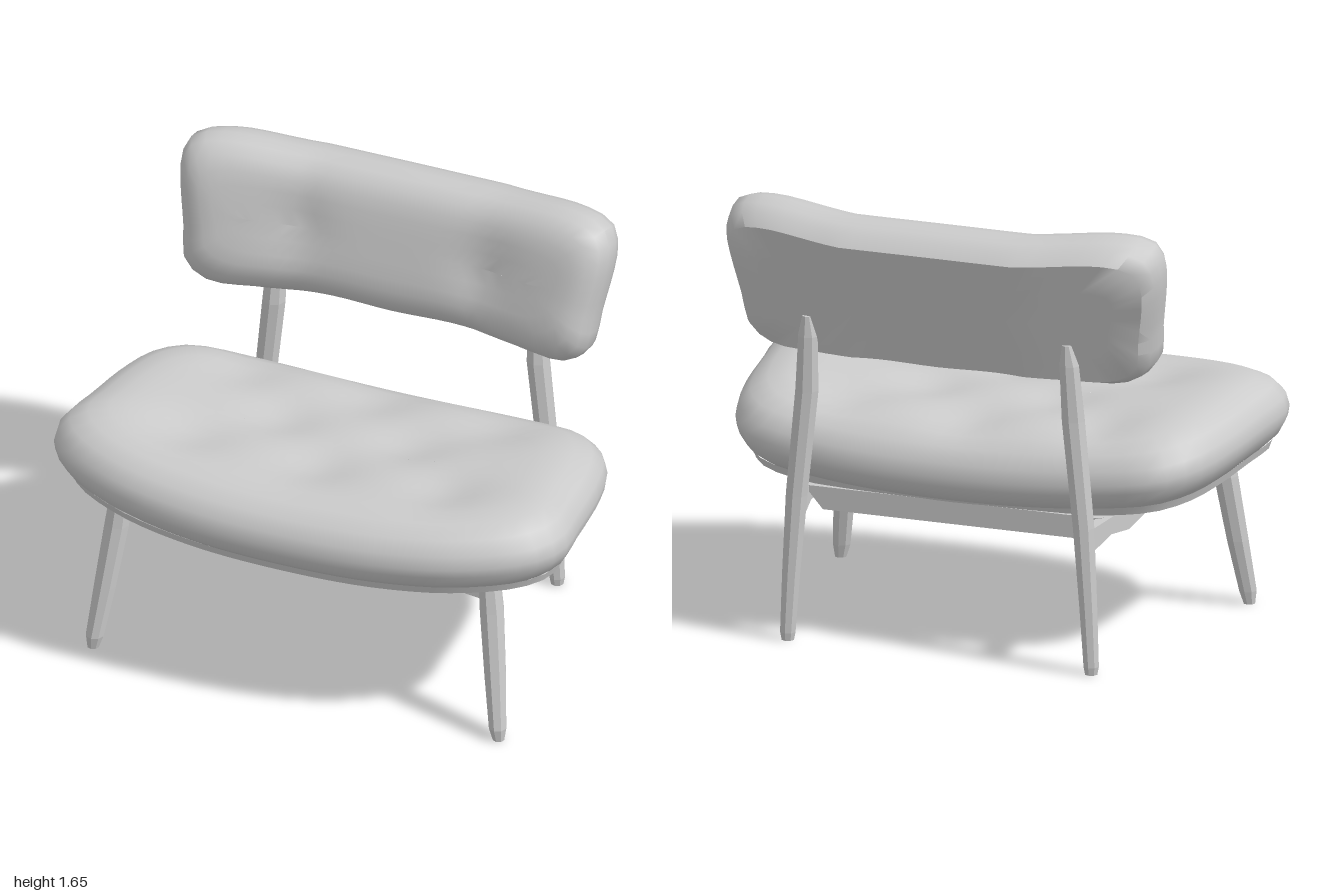
import * as THREE from 'three';
import { toCreasedNormals } from 'three/addons/utils/BufferGeometryUtils.js';

const smooth = new THREE.MeshStandardMaterial({ color: 0xcccccc });
const faceted = new THREE.MeshStandardMaterial({ color: 0xcccccc, flatShading: true });

function add(parent, name, geometry, material) {
  const mesh = new THREE.Mesh(geometry, material);
  mesh.name = name;
  parent.add(mesh);
  return mesh;
}

// Moves every vertex of a geometry by a rule
function warp(geometry, rule) {
  const pos = geometry.attributes.position;
  const v = new THREE.Vector3();
  for (let i = 0; i < pos.count; i++) {
    v.fromBufferAttribute(pos, i);
    rule(v);
    pos.setXYZ(i, v.x, v.y, v.z);
  }
  return geometry;
}

// Closed outline from its right half, listed from bottom to top
function outline(half, count) {
  const mirrored = half.slice(1, -1).reverse().map(([x, y]) => [-x, y]);
  const pts = [...half, ...mirrored].map(([x, y]) => new THREE.Vector3(x, y, 0));
  return new THREE.CatmullRomCurve3(pts, true).getSpacedPoints(count).slice(0, count);
}

// Pillow in the xy plane: rings of [inset, height] along z
function pillow(ring, halfW, halfH, profile) {
  const n = ring.length, position = [], index = [];
  profile.forEach(([d, h], i) => {
    ring.forEach((p, j) => {
      position.push(p.x * (1 - d / halfW), p.y * (1 - d / halfH), h);
      if (i === 0) return;
      const k = (j + 1) % n, a = (i - 1) * n, b = i * n;
      index.push(a + j, a + k, b + k, a + j, b + k, b + j);
    });
  });
  const g = new THREE.BufferGeometry();
  g.setAttribute('position', new THREE.Float32BufferAttribute(position, 3));
  g.setIndex(index);
  return g;
}

const dimple = (x, y, cx, cy, r) => Math.exp(-((x - cx) ** 2 + (y - cy) ** 2) / (r * r));

// Tapered leg through rows of [x, y, z, radius], top first
function leg(rows, side) {
  const g = new THREE.CylinderGeometry(1, 1, 1, 8, rows.length - 1);
  return warp(g, v => {
    const [x, y, z, r] = rows[Math.round((0.5 - v.y) * (rows.length - 1))];
    v.set(side * x + v.x * r, y, z + v.z * r);
  });
}

// Rail from a to b with a wavy, carved lower edge
function rail(a, b, height, thickness, wave) {
  const A = new THREE.Vector3(...a), B = new THREE.Vector3(...b);
  const len = A.distanceTo(B);
  const g = new THREE.BoxGeometry(thickness, height, len, 1, 1, 14);
  warp(g, v => {
    if (v.y < 0) v.y += wave * Math.sin((v.z / len) * 22);
  });
  const m = new THREE.Object3D();
  m.position.copy(A).lerp(B, 0.5);
  m.lookAt(B);
  m.updateMatrix();
  return g.applyMatrix4(m.matrix);
}

export function createModel() {
  const chair = new THREE.Group();
  chair.name = 'loungeChair';

  // Seat: wide rounded pad, sagging in the middle and sloping to the back
  const seatHalf = [[0, -0.58], [0.4, -0.565], [0.7, -0.505], [0.92, -0.39], [0.995, -0.27], [0.98, -0.05],
    [0.95, 0.2], [0.9, 0.38], [0.8, 0.5], [0.55, 0.555], [0, 0.575]];
  const seatRing = outline(seatHalf, 72);
  const seatCurve = v => {
    v.z += 0.105;
    v.y += 0.688 + 0.08 * v.z + 0.075 * v.x * v.x;
  };
  const tufts = [[0, -0.25], [-0.25, 0.02], [0.25, 0.02], [0, 0.3], [-0.5, -0.22], [0.5, -0.22],
    [-0.5, 0.3], [0.5, 0.3]];
  const seat = pillow(seatRing, 1, 0.575, [[0.575, -0.12], [0.3, -0.12], [0.08, -0.12], [0.03, -0.08],
    [0.005, -0.035], [0, 0], [0.012, 0.05], [0.05, 0.1], [0.11, 0.138], [0.18, 0.157], [0.24, 0.163],
    [0.3, 0.165], [0.36, 0.165], [0.42, 0.165], [0.48, 0.165], [0.53, 0.165], [0.575, 0.165]]);
  seat.rotateX(-Math.PI / 2);
  warp(seat, v => {
    const top = v.y > 0.11;
    seatCurve(v);
    if (top) for (const [x, z] of tufts) v.y -= 0.032 * dimple(v.x, v.z, x, z, 0.14);
  });
  add(chair, 'seatCushion', toCreasedNormals(seat, 1.1), smooth);

  // Board under the seat
  const board = pillow(seatRing, 1, 0.575, [[0.575, -0.13], [0.3, -0.13], [0.06, -0.13], [0.05, -0.1]]);
  board.rotateX(-Math.PI / 2);
  add(chair, 'seatBoard', toCreasedNormals(warp(board, seatCurve), 0.6), smooth);

  // Backrest: rounded front, flat rear panel, ends bent forward
  const backHalf = [[0, -0.268], [0.25, -0.262], [0.5, -0.28], [0.7, -0.285], [0.785, -0.225], [0.805, -0.1],
    [0.84, 0.17], [0.81, 0.25], [0.7, 0.285], [0.4, 0.279], [0, 0.279]];
  const back = pillow(outline(backHalf, 72), 0.835, 0.28, [[0.28, -0.115], [0.15, -0.115], [0.04, -0.115],
    [0.01, -0.07], [0, -0.02], [0.002, 0.04], [0.022, 0.09], [0.06, 0.125], [0.11, 0.142], [0.16, 0.147],
    [0.22, 0.148], [0.28, 0.148]]);
  warp(back, v => {
    if (v.z > 0.12) for (const s of [-1, 1]) v.z -= 0.02 * dimple(v.x, v.y, s * 0.37, 0, 0.12);
    v.z += 0.085 * Math.max(0, (Math.abs(v.x) - 0.34) / 0.46);
  });
  const backrest = add(chair, 'backrest', toCreasedNormals(back, 0.85), smooth);
  backrest.position.set(0, 1.352, -0.52);
  backrest.rotation.x = -0.28;

  for (const side of [-1, 1]) {
    const label = side > 0 ? 'left' : 'right';
    // Splayed front leg
    add(chair, label + 'FrontLeg', leg([[0.72, 0.64, 0.4, 0.042], [0.735, 0.5, 0.41, 0.047],
      [0.765, 0.25, 0.45, 0.042], [0.79, 0.05, 0.487, 0.034], [0.795, 0, 0.49, 0.022]], side), faceted);
    // Back leg rising to carry the backrest
    add(chair, label + 'BackLeg', leg([[0.505, 1.24, -0.572, 0.018], [0.508, 1.16, -0.555, 0.038],
      [0.518, 0.95, -0.54, 0.045], [0.558, 0.55, -0.54, 0.042], [0.578, 0.25, -0.544, 0.035],
      [0.59, 0.03, -0.546, 0.03], [0.59, 0, -0.546, 0.024]], side), faceted);
    // Side rail joining the legs
    add(chair, label + 'SideRail', rail([side * 0.7, 0.57, 0.38], [side * 0.565, 0.502, -0.52],
      0.075, 0.045, 0.012), faceted);
  }

  // Cross rails
  add(chair, 'frontRail', rail([-0.7, 0.57, 0.38], [0.7, 0.57, 0.38], 0.07, 0.04, 0.012), faceted);
  const backRail = new THREE.BoxGeometry(1.16, 0.085, 0.035);
  warp(backRail, v => { if (v.y < 0) v.x *= 0.87; });
  add(chair, 'backRail', backRail, faceted).position.set(0, 0.507, -0.4);

  return chair;
}
